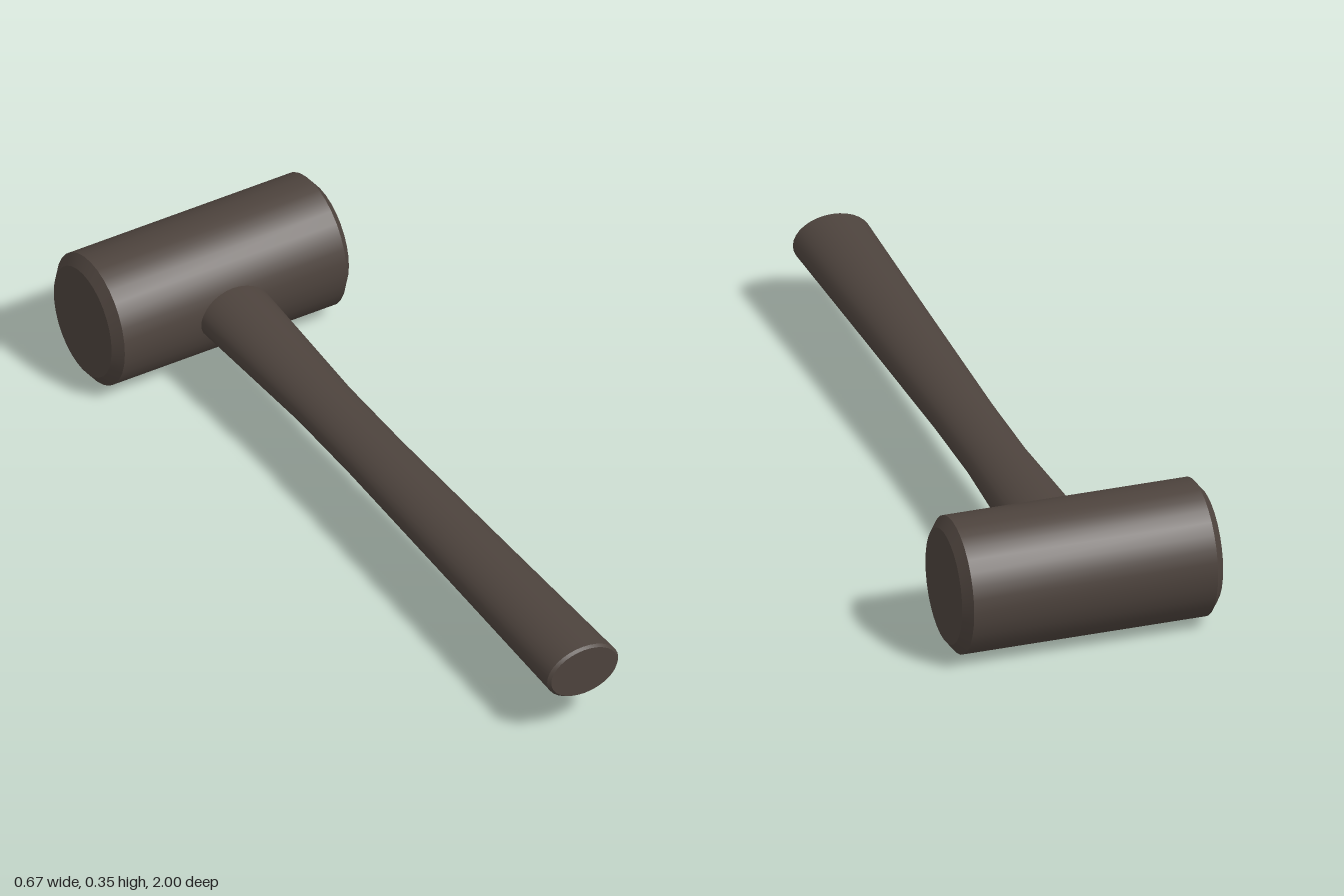
import * as THREE from 'three';
import { toCreasedNormals } from 'three/addons/utils/BufferGeometryUtils.js';

// Revolves [radius, height] pairs listed from bottom to top
function turned(profile) {
  return new THREE.LatheGeometry(profile.map(([r, h]) => new THREE.Vector2(r, h)), 32);
}

export function createModel() {
  const darkWood = new THREE.MeshStandardMaterial({ color: 0x4d433d });
  darkWood.name = 'darkWood';
  const model = new THREE.Group();
  model.name = 'mallet';

  const add = (name, geometry, y, z) => {
    const mesh = new THREE.Mesh(toCreasedNormals(geometry, 0.4), darkWood);
    mesh.name = name;
    mesh.position.set(0, y, z);
    model.add(mesh);
  };

  // Head: chamfered barrel lying along x, slightly flattened front to back
  const head = turned([
    [0, -0.337], [0.147, -0.337], [0.175, -0.315],
    [0.175, 0.315], [0.147, 0.337], [0, 0.337],
  ]);
  head.rotateZ(Math.PI / 2).scale(1, 1, 0.943);
  add('head', head, 0.175, -0.835);

  // Handle: oval shaft along z, waisted in the middle, with a small end bevel
  const handle = turned([
    [0, -0.8], [0.101, -0.8], [0.098, -0.68], [0.08, -0.25], [0.08, 0],
    [0.09, 0.5], [0.101, 0.992], [0.094, 1], [0, 1],
  ]);
  handle.rotateX(Math.PI / 2).scale(1, 0.7, 1);
  add('handle', handle, 0.177, 0);

  return model;
}
